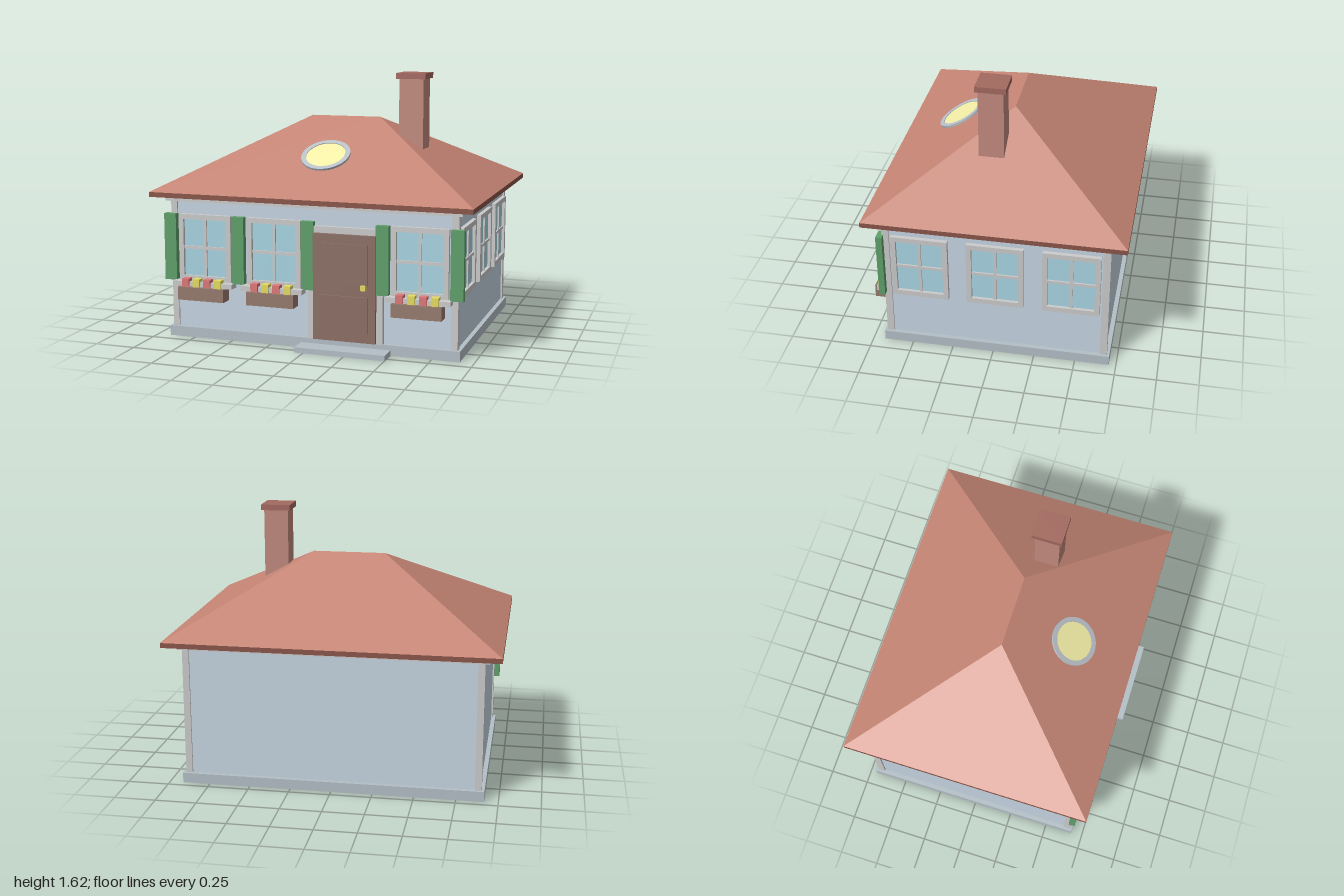
import * as THREE from 'three';

const mat = (color, extra = {}) => new THREE.MeshStandardMaterial({ color, flatShading: true, ...extra });
const M = {
  wall: mat(0xc6d6e3), base: mat(0xb3bfc6), trim: mat(0xcccccc), roof: mat(0xc48474),
  eave: mat(0x8a5548), chimney: mat(0xc28a7e), cap: mat(0xa3695f), glass: mat(0xa8d5e3),
  shutter: mat(0x5fa06a), door: mat(0x8d7067), wood: mat(0x967a6d),
  red: mat(0xe07878), yellow: mat(0xe6dc60), lamp: mat(0xf3eda6), rim: mat(0xb8bfc6),
};

// Box given by its minimum and maximum on each axis
function box(parent, name, material, [x0, x1], [y0, y1], [z0, z1]) {
  const mesh = new THREE.Mesh(new THREE.BoxGeometry(x1 - x0, y1 - y0, z1 - z0), material);
  mesh.position.set((x0 + x1) / 2, (y0 + y1) / 2, (z0 + z1) / 2);
  mesh.name = name;
  parent.add(mesh);
  return mesh;
}

function rect(path, x0, x1, y0, y1) {
  path.moveTo(x0, y0);
  path.lineTo(x1, y0);
  path.lineTo(x1, y1);
  path.lineTo(x0, y1);
  path.closePath();
  return path;
}

// Window facing +z, centred on x = 0, with its back on z = 0
function makeWindow() {
  const g = new THREE.Group();
  g.name = 'window';
  const shape = rect(new THREE.Shape(), -0.171, 0.171, 0.355, 0.768);
  shape.holes.push(rect(new THREE.Path(), -0.14, 0.14, 0.388, 0.737));
  const frame = new THREE.Mesh(new THREE.ExtrudeGeometry(shape, { depth: 0.027, bevelEnabled: false }), M.trim);
  frame.name = 'windowFrame';
  g.add(frame);
  box(g, 'windowGlass', M.glass, [-0.145, 0.145], [0.383, 0.742], [0, 0.008]);
  box(g, 'verticalBar', M.trim, [-0.009, 0.009], [0.388, 0.737], [0, 0.018]);
  box(g, 'horizontalBar', M.trim, [-0.14, 0.14], [0.553, 0.571], [0, 0.018]);
  return g;
}

// Sill, planter and flowers below a front window
function makeFlowerBox(x) {
  const g = new THREE.Group();
  g.name = 'flowerBox';
  box(g, 'sill', M.trim, [-0.194, 0.194], [0.33, 0.36], [0.65, 0.725]);
  box(g, 'planter', M.wood, [-0.15, 0.15], [0.25, 0.33], [0.665, 0.75]);
  for (let i = 0; i < 4; i++) {
    const fx = -0.105 + i * 0.07;
    box(g, 'flower', i % 2 ? M.yellow : M.red, [fx - 0.022, fx + 0.022], [0.33, 0.38], [0.69, 0.737]);
  }
  g.position.x = x;
  return g;
}

// Hipped roof: four slopes rising from the eave rectangle to the ridge
function makeRoof(x, zFront, zBack, yEave, ridgeX, ridgeY, ridgeZ) {
  const a = [-x, yEave, zFront], b = [x, yEave, zFront], c = [x, yEave, zBack], d = [-x, yEave, zBack];
  const l = [-ridgeX, ridgeY, ridgeZ], r = [ridgeX, ridgeY, ridgeZ];
  const tris = [a, b, r, a, r, l, b, c, r, c, d, l, c, l, r, d, a, l];
  const geo = new THREE.BufferGeometry();
  geo.setAttribute('position', new THREE.Float32BufferAttribute(tris.flat(), 3));
  geo.computeVertexNormals();
  const mesh = new THREE.Mesh(geo, M.roof);
  mesh.name = 'roof';
  return mesh;
}

export function createModel() {
  const house = new THREE.Group();
  house.name = 'house';

  // Foundation, step and walls
  box(house, 'foundation', M.base, [-0.917, 0.917], [0, 0.062], [-0.707, 0.677]);
  box(house, 'doorStep', M.base, [-0.053, 0.503], [0, 0.032], [0.66, 0.793]);
  box(house, 'walls', M.wall, [-0.89, 0.89], [0.06, 0.86], [-0.68, 0.653]);
  box(house, 'eaveTrim', M.trim, [-0.925, 0.925], [0.846, 0.876], [-0.717, 0.688]);

  // Corner posts
  for (const [x0, x1] of [[-0.9, -0.86], [0.86, 0.9]])
    for (const z of [[-0.691, -0.648], [0.62, 0.663]])
      box(house, 'cornerPost', M.trim, [x0, x1], [0.06, 0.85], z);

  // Roof
  const roofZ = [-0.79, 0.757];
  box(house, 'eaves', M.eave, [-1, 1], [0.875, 0.905], roofZ);
  house.add(makeRoof(1, roofZ[1], roofZ[0], 0.905, 0.225, 1.33, -0.017));

  // Round skylight lying on the front slope
  const skylight = new THREE.Group();
  skylight.name = 'skylight';
  const ring = new THREE.Shape().absarc(0, 0, 0.151, 0, Math.PI * 2, false);
  ring.holes.push(new THREE.Path().absarc(0, 0, 0.121, 0, Math.PI * 2, true));
  const rim = new THREE.Mesh(
    new THREE.ExtrudeGeometry(ring, { depth: 0.03, bevelEnabled: false, curveSegments: 32 }), M.rim);
  rim.name = 'skylightRim';
  rim.position.z = -0.018;
  const pane = new THREE.Mesh(new THREE.CircleGeometry(0.123, 48), M.lamp);
  pane.name = 'skylightGlass';
  pane.position.z = 0.008;
  skylight.add(rim, pane);
  skylight.position.set(0, 1.119, 0.37);
  skylight.rotation.x = -Math.atan2(0.774, 0.425);
  house.add(skylight);

  // Chimney
  box(house, 'chimney', M.chimney, [0.395, 0.547], [1.15, 1.585], [-0.005, 0.147]);
  box(house, 'chimneyCap', M.cap, [0.379, 0.563], [1.58, 1.615], [-0.023, 0.163]);

  // Front windows with flower boxes
  for (const x of [-0.674, -0.225, 0.674]) {
    const w = makeWindow();
    w.position.set(x, 0, 0.651);
    house.add(w, makeFlowerBox(x));
  }

  // Shutters
  for (const x of [-0.897, -0.452, -0.008, 0.453, 0.897])
    box(house, 'shutter', M.shutter, [x - 0.039, x + 0.039], [0.357, 0.768], [0.652, 0.69]);

  // Windows on the left wall
  for (const z of [0.438, -0.015, -0.467]) {
    const w = makeWindow();
    w.rotation.y = Math.PI / 2;
    w.position.set(0.888, 0, z);
    house.add(w);
  }

  // Front door
  const door = new THREE.Group();
  door.name = 'frontDoor';
  box(door, 'doorFrame', M.trim, [-0.006, 0.456], [0.06, 0.743], [0.645, 0.68]);
  box(door, 'doorLeaf', M.door, [0.032, 0.417], [0.066, 0.705], [0.66, 0.7]);
  box(door, 'upperPanel', M.door, [0.075, 0.372], [0.411, 0.652], [0.69, 0.71]);
  box(door, 'lowerPanel', M.door, [0.075, 0.372], [0.122, 0.341], [0.69, 0.71]);
  box(door, 'doorKnob', M.yellow, [0.331, 0.362], [0.385, 0.415], [0.695, 0.727]);
  house.add(door);

  return house;
}
